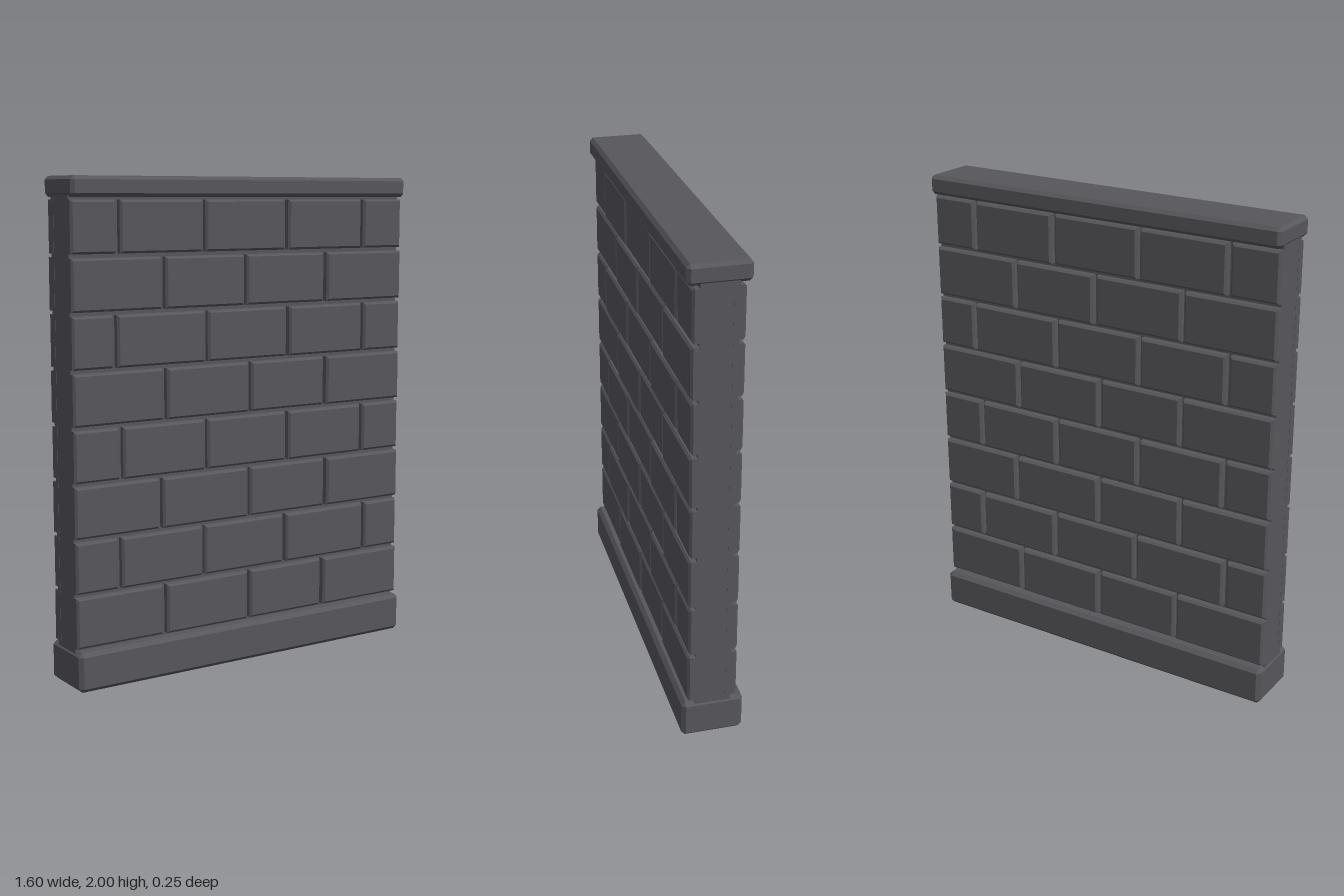
import * as THREE from 'three';
import { ConvexGeometry } from 'three/addons/geometries/ConvexGeometry.js';

const HALF = 0.795;

// Box centred on x and z with every edge chamfered by c
function chamferedBox(w, y0, y1, d, c) {
  const pts = [];
  const h = [w / 2, (y1 - y0) / 2, d / 2];
  for (const sx of [-1, 1]) for (const sy of [-1, 1]) for (const sz of [-1, 1]) {
    for (let full = 0; full < 3; full++) {
      const p = h.map((v, i) => (i === full ? v : v - c));
      pts.push(new THREE.Vector3(sx * p[0], (y0 + y1) / 2 + sy * p[1], sz * p[2]));
    }
  }
  return new ConvexGeometry(pts);
}

// Brick standing out from the core, with a chamfered rim around its face
function brickGeometry(x0, x1, y0, y1, z, c) {
  const pts = [];
  for (const [depth, inset] of [[0.05, 0], [z - c, 0], [z, c]]) {
    for (const x of [x0 + inset, x1 - inset]) for (const y of [y0 + inset, y1 - inset]) {
      pts.push(new THREE.Vector3(x, y, depth));
    }
  }
  return new ConvexGeometry(pts);
}

export function createModel() {
  const wall = new THREE.Group();
  wall.name = 'brickWall';
  const stone = new THREE.MeshStandardMaterial({ color: 0x57565c });
  stone.name = 'dark grey stone';

  const add = (parent, name, geometry) => {
    const mesh = new THREE.Mesh(geometry, stone);
    mesh.name = name;
    parent.add(mesh);
    return mesh;
  };

  // Base course, core and coping
  add(wall, 'base', chamferedBox(1.6, 0, 0.16, 0.25, 0.016));
  add(wall, 'coping', chamferedBox(1.6, 1.92, 2, 0.24, 0.014));
  const core = add(wall, 'core', new THREE.BoxGeometry(HALF * 2 - 0.002, 1.8, 0.144));
  core.position.y = 1.04;

  // Vertical joints of each course, bottom to top
  const joints = [
    [-0.397, 0.008, 0.386],
    [-0.602, -0.214, 0.188, 0.611],
    [-0.413, 0.008, 0.4],
    [-0.59, -0.2, 0.198, 0.592],
    [-0.39, 0.013, 0.394],
    [-0.611, -0.196, 0.2, 0.593],
    [-0.394, -0.01, 0.392],
    [-0.593, -0.206, 0.193, 0.585],
  ];
  const gap = 0.016, pitch = 0.2193, height = 0.204;

  // The back has the same bricks, turned half round
  for (const [side, angle] of [['front', 0], ['back', Math.PI]]) {
    const face = new THREE.Group();
    face.name = side + 'Bricks';
    face.rotation.y = angle;
    joints.forEach((row, r) => {
      const y0 = 0.171 + r * pitch;
      for (let i = 0; i <= row.length; i++) {
        const x0 = i === 0 ? -HALF : row[i - 1] + gap / 2;
        const x1 = i === row.length ? HALF : row[i] - gap / 2;
        const z = 0.1 + (((r * 5 + i * 3) % 5) - 2) * 0.0015;
        add(face, 'brick', brickGeometry(x0, x1, y0, y0 + height, z, 0.009));
      }
    });
    wall.add(face);
  }
  return wall;
}
